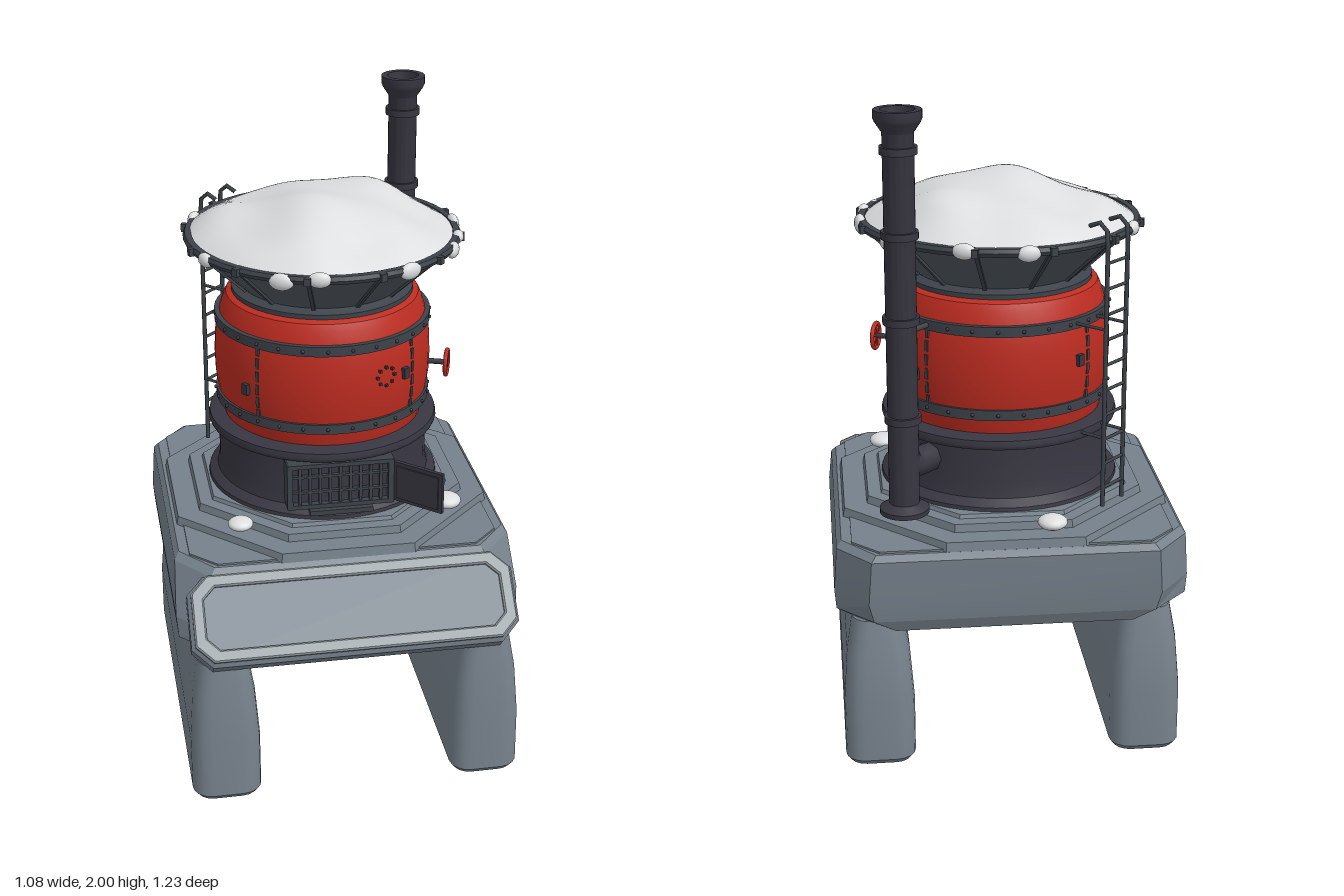
import * as THREE from 'three';
import { toCreasedNormals } from 'three/addons/utils/BufferGeometryUtils.js';

const mat = (name, color, side = THREE.FrontSide) => {
  const m = new THREE.MeshStandardMaterial({ color, side });
  m.name = name;
  return m;
};

export function createModel() {
  const stone = mat('stone', 0x76818b), trim = mat('pale trim', 0x98a1a6);
  const iron = mat('dark iron', 0x383641), band = mat('band steel', 0x3d434a);
  const slate = mat('hopper steel', 0x50585f, THREE.DoubleSide);
  const red = mat('red paint', 0xbd2c20), snow = mat('snow', 0xdcdee0);
  const model = new THREE.Group();
  const CZ = -0.1; // axis of the stove

  const add = (name, geo, material, x = 0, y = 0, z = 0, parent = model) => {
    const m = new THREE.Mesh(geo, material);
    m.name = name;
    m.position.set(x, y, z);
    parent.add(m);
    return m;
  };
  // place a part around the stove axis, facing outward (0 = front, +90 degrees = +x)
  const around = (name, geo, material, a, r, y) => {
    const m = add(name, geo, material, Math.sin(a) * r, y, CZ + Math.cos(a) * r);
    m.rotation.order = 'YXZ';
    m.rotation.y = a;
    return m;
  };
  const box = (w, h, d) => new THREE.BoxGeometry(w, h, d);
  const cyl = (r1, r2, h, n = 32) => new THREE.CylinderGeometry(r1, r2, h, n);
  const lathe = (pts, n = 48) => toCreasedNormals(
    new THREE.LatheGeometry(pts.map(p => new THREE.Vector2(...p)), n), 0.6);
  const rod = (name, pts, r, material) => add(name, new THREE.TubeGeometry(
    new THREE.CatmullRomCurve3(pts.map(p => new THREE.Vector3(...p)), false, 'catmullrom', 0.1), 24, r, 8), material);

  // stack of rounded rectangles [y, halfX, zBack, zFront, cutX, cutZ] joined into a closed solid
  const loft = (sections, seg, crease) => {
    const pos = [], idx = [], n = 4 * (seg + 1);
    for (const [y, hx, zb, zf, cx, cz] of sections) {
      for (let q = 0; q < 4; q++) for (let i = 0; i <= seg; i++) {
        const t = (q + i / seg) * Math.PI / 2;
        const sx = q === 0 || q === 3 ? 1 : -1, front = q < 2;
        pos.push(sx * (hx - cx) + Math.cos(t) * cx, y,
          (front ? zf - cz : zb + cz) + Math.sin(t) * cz);
      }
    }
    const last = (sections.length - 1) * n;
    for (let s = 0; s < last; s += n) for (let i = 0; i < n; i++) {
      const j = (i + 1) % n;
      idx.push(s + i, s + n + i, s + j, s + j, s + n + i, s + n + j);
    }
    for (let i = 1; i < n - 1; i++) idx.push(0, i, i + 1, last, last + i + 1, last + i);
    const g = new THREE.BufferGeometry();
    g.setAttribute('position', new THREE.Float32BufferAttribute(pos, 3));
    g.setIndex(idx);
    return toCreasedNormals(g, crease);
  };

  // legs and plinth
  for (const s of [-1, 1]) add(s > 0 ? 'leftLeg' : 'rightLeg', loft([
    [0, 0.095, -0.57, 0.59, 0.05, 0.05], [0.018, 0.108, -0.583, 0.603, 0.06, 0.06],
    [0.2, 0.108, -0.58, 0.595, 0.06, 0.06], [0.36, 0.096, -0.56, 0.58, 0.055, 0.06],
    [0.47, 0.078, -0.535, 0.562, 0.05, 0.06]], 4, 0.5), stone, s * 0.412);
  add('plinth', loft([
    [0.43, 0.36, -0.5, 0.45, 0.1, 0.1], [0.46, 0.47, -0.585, 0.51, 0.11, 0.1],
    [0.5, 0.535, -0.603, 0.535, 0.11, 0.11], [0.56, 0.54, -0.612, 0.52, 0.1, 0.12],
    [0.7, 0.53, -0.618, 0.42, 0.1, 0.12], [0.72, 0.515, -0.605, 0.4, 0.1, 0.12]], 1, 0.2), stone);
  add('plinthTop', loft([[0.71, 0.485, -0.595, 0.39, 0.08, 0.08],
    [0.726, 0.485, -0.595, 0.39, 0.08, 0.08]], 1, 0.1), stone);

  // octagonal steps
  [[0.505, 0.718, 0.748], [0.43, 0.745, 0.772], [0.385, 0.77, 0.784]].forEach(([r, y0, y1], i) => {
    const R = r / Math.cos(Math.PI / 8);
    const m = add('step' + (i + 1), cyl(R - 0.006, R, y1 - y0, 8).toNonIndexed(), stone, 0, (y0 + y1) / 2, CZ);
    m.geometry.computeVertexNormals();
    m.rotation.y = Math.PI / 8;
  });

  // tilted front panel with a raised frame
  const plate = (w, h, c, Kind = THREE.Shape) => {
    const x = w / 2, y = h / 2;
    return new Kind([[x, -y + c], [x, y - c], [x - c, y], [-x + c, y], [-x, y - c], [-x, -y + c],
      [-x + c, -y], [x - c, -y]].map(p => new THREE.Vector2(...p)));
  };
  const panel = new THREE.Group();
  panel.name = 'frontPanel';
  panel.position.set(0, 0.595, 0.5);
  panel.rotation.x = -Math.PI / 4;
  model.add(panel);
  add('panelBody', new THREE.ExtrudeGeometry(plate(0.98, 0.255, 0.05), {
    depth: 0.05, bevelThickness: 0.018, bevelSize: 0.018, bevelSegments: 1 }), stone, 0, 0, -0.055, panel);
  const frame = plate(0.985, 0.26, 0.05);
  frame.holes.push(plate(0.93, 0.205, 0.04, THREE.Path));
  add('panelFrame', new THREE.ExtrudeGeometry(frame, {
    depth: 0.008, bevelThickness: 0.006, bevelSize: 0.005, bevelSegments: 1 }), trim, 0, 0, 0.014, panel);

  // firebox
  add('firebox', lathe([[0, 0.78], [0.375, 0.78], [0.372, 0.795], [0.345, 0.815], [0.337, 0.85], [0.337, 0.975],
    [0.366, 0.98], [0.37, 0.99], [0.366, 1.008], [0.33, 1.015], [0, 1.015]]), iron, 0, 0, CZ);
  add('grateBack', box(0.32, 0.13, 0.04), iron, 0, 0.895, 0.215);
  for (const s of [-1, 1]) {
    add('grateSide', box(0.018, 0.15, 0.07), band, s * 0.16, 0.895, 0.222);
    add('grateRail', box(0.33, 0.014, 0.07), band, 0, 0.895 + s * 0.07, 0.222);
  }
  for (let i = -4; i <= 4; i++) add('grateBar', box(0.009, 0.13, 0.012), band, i * 0.032, 0.895, 0.246);
  for (const y of [0.872, 0.925]) add('grateCrossBar', box(0.31, 0.008, 0.012), band, 0, y, 0.244);
  add('ashShelf', box(0.2, 0.016, 0.06), band, 0, 0.81, 0.245);
  const door = add('fireDoor', box(0.175, 0.135, 0.013), iron, 0.235, 0.895, 0.31);
  door.rotation.y = -0.75;
  add('doorRib', box(0.15, 0.11, 0.022), iron, 0, 0, 0, door);

  // red barrel with bands, rivets and seams
  add('barrel', lathe([[0.3, 1.01], [0.318, 1.015], [0.333, 1.08], [0.343, 1.15], [0.345, 1.21], [0.342, 1.28],
    [0.332, 1.34], [0.315, 1.395], [0.305, 1.415], [0.285, 1.425], [0.2, 1.427]]), red, 0, 0, CZ);
  for (const y of [1.08, 1.34]) {
    add('barrelBand', lathe([[0.32, y - 0.016], [0.343, y - 0.016], [0.343, y + 0.016], [0.32, y + 0.016]]), band, 0, 0, CZ);
    for (let i = 0; i < 28; i++)
      around('rivet', new THREE.SphereGeometry(0.006, 6, 4), iron, (i + 0.5) * Math.PI / 14, 0.344, y);
  }
  for (let i = 0; i < 4; i++) {
    const a = Math.PI / 4 + i * Math.PI / 2;
    for (let k = 0; k < 6; k++) around('seam', box(0.011, 0.034, 0.01), band, a,
      0.342 - 0.4 * (k * 0.043 - 0.108) ** 2, 1.102 + k * 0.043);
    around('seamLatch', box(0.022, 0.035, 0.022), iron, a - 0.12, 0.346, i % 2 ? 1.18 : 1.225);
  }
  // round vent of small holes
  for (let i = 0; i < 8; i++) {
    const t = i * Math.PI / 4;
    around('ventStud', box(0.008, 0.008, 0.012), iron, 0.44 + Math.cos(t) * 0.09, 0.346, 1.235 + Math.sin(t) * 0.03);
  }

  // hand wheel
  const wheel = around('handWheel', new THREE.TorusGeometry(0.04, 0.007, 8, 24), red, 1.22, 0.403, 1.19);
  for (let i = 0; i < 3; i++) add('wheelSpoke', box(0.078, 0.008, 0.007), red, 0, 0, 0, wheel).rotation.z = i * Math.PI / 3 + 0.3;
  add('wheelStem', cyl(0.009, 0.009, 0.07, 10), iron, 0, 0, -0.03, wheel).rotation.x = Math.PI / 2;

  // neck and hopper
  add('neckRing', lathe([[0.22, 1.42], [0.288, 1.42], [0.288, 1.438], [0.265, 1.445], [0.25, 1.455], [0.2, 1.455]]), band, 0, 0, CZ);
  add('hopper', lathe([[0.25, 1.44], [0.41, 1.59], [0.418, 1.6]]), slate, 0, 0, CZ);
  add('hopperRim', lathe([[0.408, 1.588], [0.428, 1.59], [0.434, 1.602], [0.428, 1.614], [0.408, 1.614], [0.408, 1.588]]), band, 0, 0, CZ);
  for (let i = 0; i < 12; i++) {
    const a = (i + 0.5) * Math.PI / 6;
    around('hopperRib', box(0.012, 0.215, 0.012), band, a, 0.334, 1.517).rotation.x = Math.atan2(0.16, 0.15);
    around('rimBolt', box(0.02, 0.024, 0.016), band, a, 0.436, 1.602);
  }

  // snow heap: a disc raised into a lumpy dome
  const heap = new THREE.CircleGeometry(1, 64);
  const dome = new THREE.SphereGeometry(1, 64, 28, 0, Math.PI * 2, 0, Math.PI / 2);
  heap.dispose();
  const p = dome.attributes.position;
  for (let i = 0; i < p.count; i++) {
    const r0 = Math.hypot(p.getX(i), p.getZ(i)), t = Math.atan2(r0, p.getY(i)) / (Math.PI / 2);
    const k = r0 > 1e-6 ? 0.422 * t / r0 : 0, x = p.getX(i) * k, z = p.getZ(i) * k;
    const lump = 0.012 * Math.sin(11 * x + 7 * z + 1) + 0.009 * Math.sin(17 * z - 9 * x) + 0.006 * Math.sin(23 * x + 3);
    p.setXYZ(i, x, 1.602 + 0.118 * (1 - t ** 2.6) + lump * Math.min(1, 2.5 * (1 - t) + 0.25), z);
  }
  dome.computeVertexNormals();
  add('snowHeap', dome, snow, 0, 0, CZ);
  // snow lumps on the rim and drifts on the steps
  [[-2.02, 1], [-1.13, 1], [-0.45, 1.2], [-0.18, 1.1], [0.5, 1.2], [1.07, 1.1], [1.29, 0.9], [1.62, 1.3],
    [2.17, 1], [2.8, 1.1], [3.24, 1.1]].forEach(([a, s], i) =>
    around('rimSnow', new THREE.SphereGeometry(0.026, 14, 10), snow, a, 0.424, 1.604 - 0.006 * (i % 3)).scale.set(1.25 * s, 0.85 * s, 0.7));
  [[-0.315, 0.235, 0.04], [0.355, 0.19, 0.047], [-0.115, -0.54, 0.045]].forEach(([x, z, r]) =>
    add('snowDrift', new THREE.SphereGeometry(r, 20, 12), snow, x, 0.775, z).scale.y = 0.5);

  // chimney with elbow, collars and strut
  const PX = 0.32, PZ = -0.425;
  add('chimney', lathe([[0.02, 0.78], [0.075, 0.78], [0.075, 0.795], [0.046, 0.812], [0.046, 1.935], [0.066, 1.965],
    [0.07, 1.975], [0.07, 2], [0.05, 2], [0.044, 1.93], [0, 1.93]], 28), iron, PX, 0, PZ);
  for (const y of [1.08, 1.385, 1.64, 1.885]) add('chimneyCollar', cyl(0.055, 0.055, 0.022, 28), iron, PX, y, PZ);
  rod('fluePipe', [[0.2, 0.92, -0.3], [0.285, 0.92, -0.385], [0.31, 0.93, -0.415], [PX, 0.97, PZ]], 0.046, iron);
  rod('chimneyStrut', [[0.2, 1.34, -0.3], [PX, 1.34, PZ]], 0.009, band);

  // ladder hooked over the rim, on the rear right
  const LA = -2.356;
  const at = (r, w, y) => [Math.sin(LA) * r + Math.cos(LA) * w, y, CZ + Math.cos(LA) * r - Math.sin(LA) * w];
  for (const s of [-1, 1]) rod('ladderRail', [at(0.445, s * 0.05, 0.78), at(0.445, s * 0.05, 1.2),
    at(0.445, s * 0.05, 1.62), at(0.435, s * 0.05, 1.655), at(0.41, s * 0.05, 1.66), at(0.38, s * 0.05, 1.645)], 0.007, band);
  for (let i = 0; i < 10; i++) {
    const y = 0.84 + i * 0.078;
    rod('ladderRung', [at(0.445, -0.05, y), at(0.445, 0.05, y)], 0.005, band);
  }
  for (const y of [1.0, 1.34]) for (const s of [-1, 1])
    rod('ladderBracket', [at(0.32, s * 0.05, y), at(0.445, s * 0.05, y)], 0.005, band);

  return model;
}
